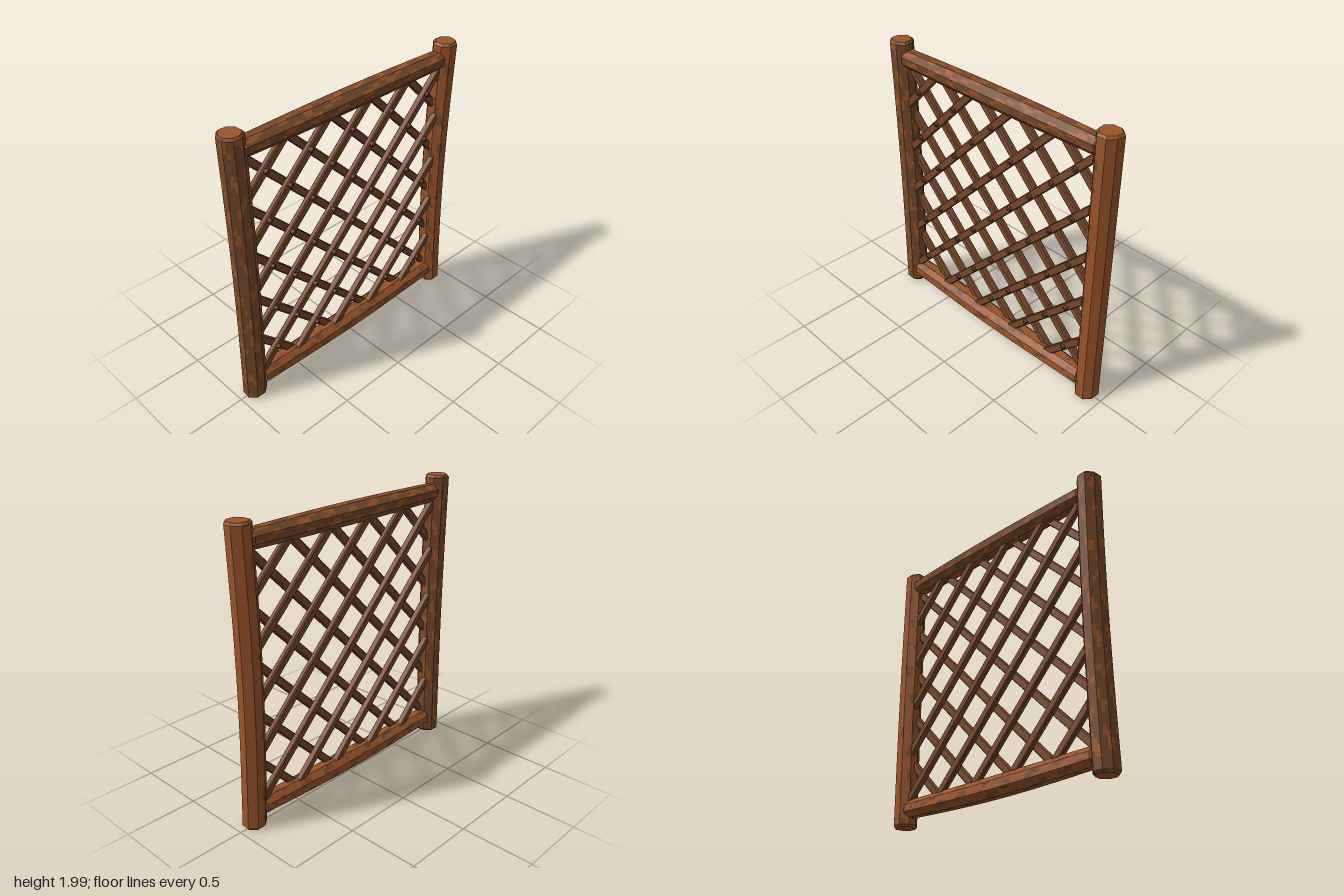
import * as THREE from 'three';

const bark = new THREE.MeshStandardMaterial({ color: 0x9a5429 });
bark.name = 'warm bark';
const brown = new THREE.MeshStandardMaterial({ color: 0x75472b });
brown.name = 'weathered brown';
const pegBrown = new THREE.MeshStandardMaterial({ color: 0x5c3522 });
pegBrown.name = 'dark peg';

const SIDES = 8, SUB = 3, RINGS = 56;

// Smooth blotchy pattern, roughly -1..1, around (a) and along (s) a log
function blotch(a, s, seed) {
  return (Math.sin(3 * a + 9 * s + seed) * Math.cos(21 * s - 2 * a + seed * 2.3)
    + Math.sin(5 * a - 33 * s + seed * 1.7) * 0.6
    + Math.cos(8 * a + 47 * s + seed * 0.6) * 0.4) / 1.6;
}

// Eight-sided log with chamfered ends; place(u, v, t) maps section and axis to space,
// isBark(angle, t) decides which colour each small patch takes
function makeLog(name, radius, wobble, place, isBark) {
  const n = SIDES * SUB;
  const section = (i) => {
    const k = Math.floor(i / SUB), f = (i % SUB) / SUB;
    const corner = (j) => {
      const a = ((j + 0.5) / SIDES) * Math.PI * 2;
      const r = radius * (1 + 0.04 * Math.sin((j % SIDES) * 2.4 + wobble));
      return [r * Math.cos(a), r * Math.sin(a)];
    };
    const p = corner(k), q = corner(k + 1);
    return [p[0] + (q[0] - p[0]) * f, p[1] + (q[1] - p[1]) * f];
  };
  const point = (i, j) => {
    const [u, v] = section(i % n);
    const end = j === 0 || j === RINGS ? 0.84 : 1;
    const t = j <= 1 ? j * 0.008 : j >= RINGS - 1 ? 1 - (RINGS - j) * 0.008
      : 0.008 + 0.984 * (j - 1) / (RINGS - 2);
    return place(u * end, v * end, t);
  };
  const lists = [[], []];
  const tri = (m, ...pts) => pts.forEach((p) => lists[m].push(p[0], p[1], p[2]));
  for (let j = 0; j < RINGS; j++) {
    for (let i = 0; i < n; i++) {
      const m = isBark(((i + 2) / n) * Math.PI * 2, (j + 0.5) / RINGS) ? 0 : 1;
      const A = point(i, j), B = point(i, j + 1), C = point(i + 1, j + 1), D = point(i + 1, j);
      tri(m, A, B, C);
      tri(m, A, C, D);
    }
  }
  // End grain
  for (let i = 0; i < n; i++) {
    tri(0, place(0, 0, 1), point(i + 1, RINGS), point(i, RINGS));
    tri(0, place(0, 0, 0), point(i, 0), point(i + 1, 0));
  }
  const g = new THREE.BufferGeometry();
  g.setAttribute('position', new THREE.Float32BufferAttribute(lists[0].concat(lists[1]), 3));
  g.addGroup(0, lists[0].length / 3, 0);
  g.addGroup(lists[0].length / 3, lists[1].length / 3, 1);
  g.computeVertexNormals();
  const mesh = new THREE.Mesh(g, [bark, brown]);
  mesh.name = name;
  return mesh;
}

// 45 degree slat cut square to the frame; dir 1 rises to +x, -1 falls
const HX = 0.81, HY = 0.83, STEP = 0.343, HALF = 0.027 * Math.SQRT2;
function makeSlat(k, dir) {
  const c = k * STEP;
  const x0 = Math.max(-HX, -HY - c), x1 = Math.min(HX, HY - c);
  const cut = (x) => (Math.abs(x) >= HX - 1e-6 ? [0, HALF] : [-HALF, 0]);
  const [ax, ay] = cut(x0), [bx, by] = cut(x1);
  const pts = [
    [x0 - ax, x0 + c - ay], [x1 - bx, x1 + c - by],
    [x1 + bx, x1 + c + by], [x0 + ax, x0 + c + ay],
  ].map(([x, y]) => new THREE.Vector2(x * dir, y));
  const g = new THREE.ExtrudeGeometry(new THREE.Shape(pts), {
    depth: 0.024, bevelEnabled: true, bevelSegments: 1,
    bevelSize: 0.008, bevelThickness: 0.008, bevelOffset: -0.008,
  });
  const slat = new THREE.Mesh(g, brown);
  slat.name = dir > 0 ? 'frontSlat' : 'backSlat';
  slat.position.set(0, 1, dir > 0 ? 0.006 : -0.03);
  return slat;
}

export function createModel() {
  const model = new THREE.Group();
  model.name = 'trellis';
  const bow = (t) => Math.sin(Math.PI * t);

  // Posts: one weathered, one mostly clean bark
  model.add(makeLog('rightPost', 0.082, 1.2,
    (u, v, t) => [-0.883 + 0.014 * bow(t) + u, 0.005 + 1.993 * t, v],
    (a, t) => blotch(a, t * 2, 1.3) > 0.36));
  model.add(makeLog('leftPost', 0.082, 4.1,
    (u, v, t) => [0.88 - 0.012 * bow(t) + u, 0.005 + 1.993 * t, 0.006 - 0.016 * bow(t) + v],
    (a, t) => Math.cos(a) > -0.1 || blotch(a, t * 2, 4.2) < 0.45));

  // Rails, slightly thicker at mid-span
  const rail = (name, y, sag, seed, level) => makeLog(name, 0.073, seed,
    (u, v, t) => {
      const s = 0.87 + 0.13 * bow(t);
      return [-0.83 + 1.66 * t, y + sag * bow(t) - u * s, v * s * 1.08];
    },
    (a, t) => blotch(a, t * 1.7, seed) > level);
  model.add(rail('topRail', 1.88, 0.002, 2.6, 0.28));
  model.add(rail('bottomRail', 0.126, -0.014, 5.4, -0.4));

  // Crossed slats
  const lattice = new THREE.Group();
  lattice.name = 'lattice';
  for (let k = -4; k <= 4; k++) lattice.add(makeSlat(k, 1), makeSlat(k, -1));
  model.add(lattice);

  // Pegs at every crossing
  const pegGeometry = new THREE.CylinderGeometry(0.013, 0.02, 0.022, 10);
  pegGeometry.rotateX(Math.PI / 2);
  const pegs = new THREE.Group();
  pegs.name = 'pegs';
  for (let i = -4; i <= 4; i++) {
    for (let j = -4; j <= 4; j++) {
      if ((i + j) % 2 !== 0) continue;
      const peg = new THREE.Mesh(pegGeometry, pegBrown);
      peg.name = 'peg';
      peg.position.set(i * STEP / 2, 1 + j * STEP / 2, 0.046);
      pegs.add(peg);
    }
  }
  model.add(pegs);
  return model;
}
